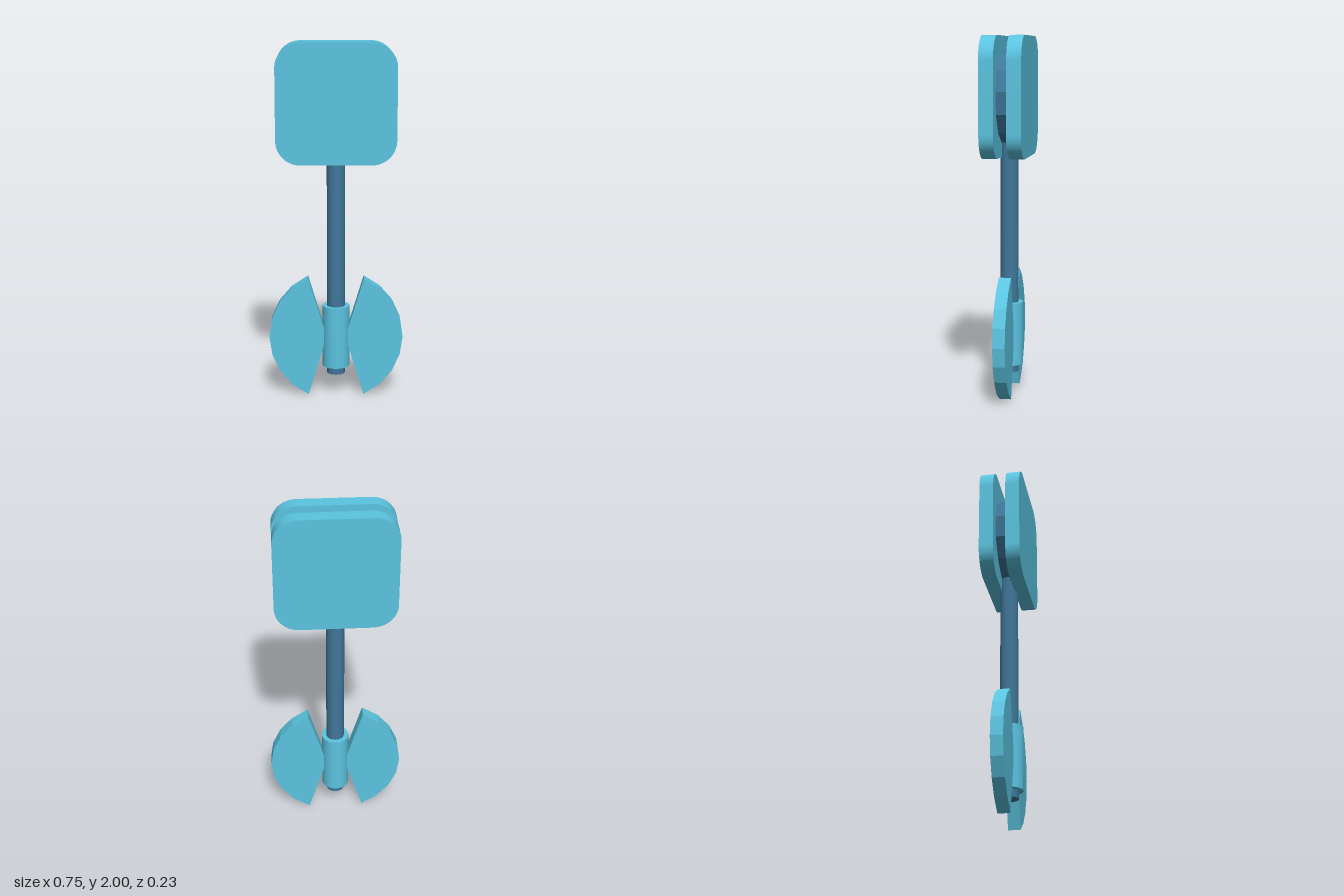
import * as THREE from 'three';
import { toCreasedNormals } from 'three/addons/utils/BufferGeometryUtils.js';

const light = new THREE.MeshStandardMaterial({ color: 0x5bc4e0 });
const dark = new THREE.MeshStandardMaterial({ color: 0x40779a });
const darkFlat = new THREE.MeshStandardMaterial({ color: 0x40779a, flatShading: true });

const HEAD_Y = 1.672; // centre of the square head
const BLADE_Y = 0.346; // centre of the two blades

function add(parent, name, geometry, material, x = 0, y = 0, z = 0) {
  const mesh = new THREE.Mesh(geometry, material);
  mesh.name = name;
  mesh.position.set(x, y, z);
  parent.add(mesh);
  return mesh;
}

function extrude(shape, depth) {
  const geometry = new THREE.ExtrudeGeometry(shape, { depth, bevelEnabled: false, curveSegments: 8 });
  geometry.translate(0, 0, -depth / 2);
  return geometry;
}

// Square with rounded corners, centred on the origin
function roundedSquare(h, r) {
  const s = new THREE.Shape();
  const c = h - r;
  s.moveTo(c, -h);
  s.absarc(c, -c, r, -Math.PI / 2, 0, false);
  s.absarc(c, c, r, 0, Math.PI / 2, false);
  s.absarc(-c, c, r, Math.PI / 2, Math.PI, false);
  s.absarc(-c, -c, r, Math.PI, Math.PI * 1.5, false);
  return s;
}

// Faceted outer arc, with straight edges running in to the hub
function bladeShape() {
  const points = [new THREE.Vector2(0.053, 0)];
  const tip = THREE.MathUtils.degToRad(65.4);
  for (let i = -4; i <= 4; i++) {
    const a = (i / 4) * tip;
    points.push(new THREE.Vector2(0.377 * Math.cos(a), 0.377 * Math.sin(a)));
  }
  return new THREE.Shape(points);
}

export function createModel() {
  const model = new THREE.Group();
  model.name = 'paddle';

  // Shaft and the sleeve that carries the blades
  add(model, 'shaft', new THREE.CylinderGeometry(0.051, 0.051, 1.345, 16), dark, 0, 0.7975, 0);
  add(model, 'hub', new THREE.CylinderGeometry(0.077, 0.077, 0.355, 24), light, 0, 0.3475, 0);

  // Thirteen-sided core between the two plates
  const core = new THREE.CylinderGeometry(0.257, 0.257, 0.069, 13);
  core.rotateX(-Math.PI / 2);
  add(model, 'headCore', core, darkFlat, 0, HEAD_Y, 0);

  // Front and back plates
  const plate = toCreasedNormals(extrude(roundedSquare(0.329, 0.135), 0.079), Math.PI / 6);
  for (const [name, side] of [['frontPlate', 1], ['backPlate', -1]]) {
    add(model, name, plate, light, 0, HEAD_Y, side * 0.074);
  }

  // Matching blades, one turned half round
  const blade = extrude(bladeShape(), 0.068);
  add(model, 'leftBlade', blade, light, 0, BLADE_Y, 0);
  add(model, 'rightBlade', blade, light, 0, BLADE_Y, 0).rotation.y = Math.PI;

  return model;
}
